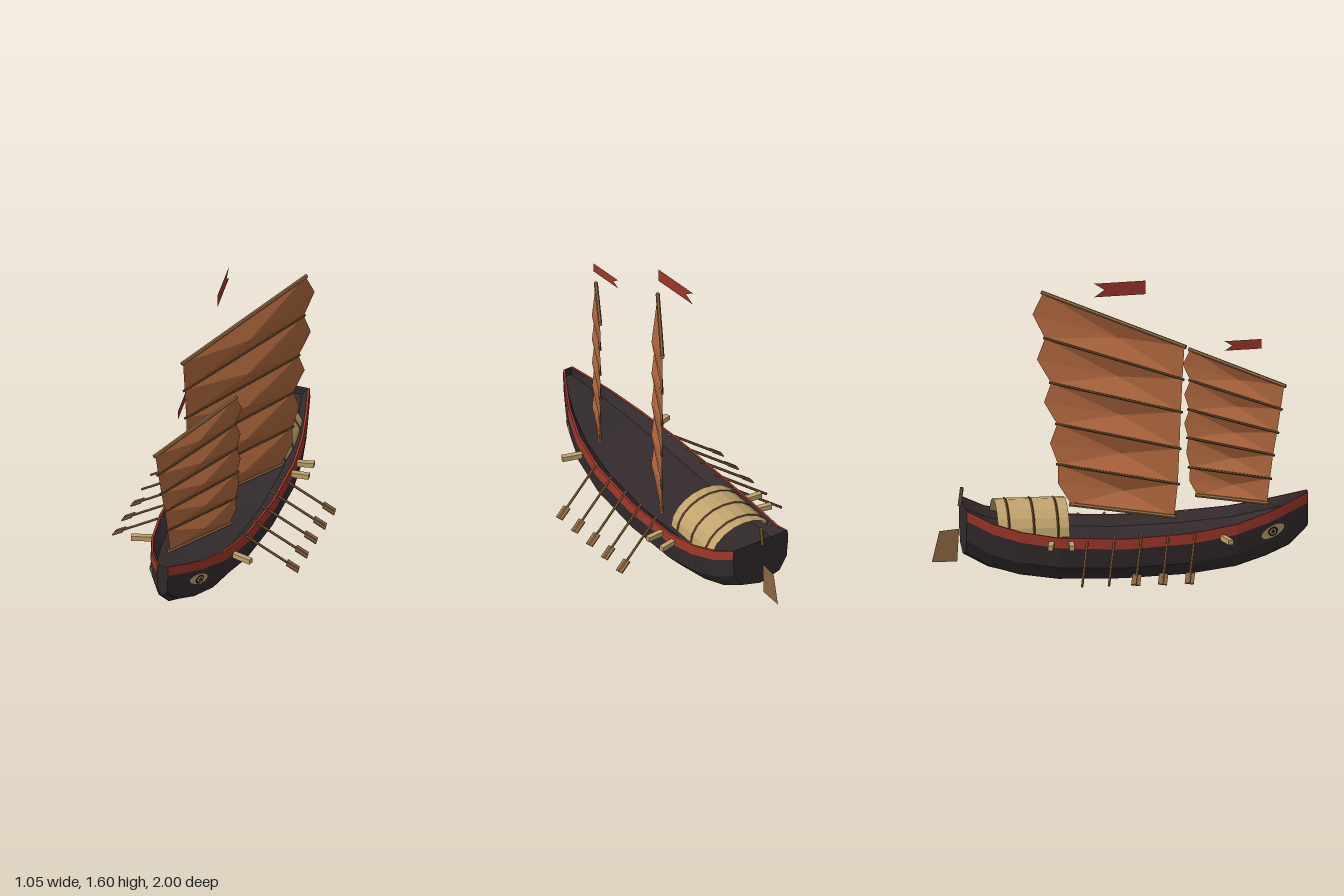
import * as THREE from 'three';

const mat = (name, color) => new THREE.MeshStandardMaterial({ name, color, flatShading: true, side: THREE.DoubleSide });
const V = (x, y, z) => new THREE.Vector3(x, y, z);

// Hull stations: z, half width, sheer height, keel height
const STATIONS = [
  [1, 0.03, 0.43, 0.24], [0.9, 0.085, 0.395, 0.14], [0.78, 0.145, 0.355, 0.085], [0.6, 0.208, 0.31, 0.035],
  [0.35, 0.255, 0.28, 0.01], [0, 0.275, 0.265, 0], [-0.35, 0.268, 0.28, 0.005], [-0.55, 0.243, 0.31, 0.03],
  [-0.7, 0.21, 0.352, 0.07], [-0.835, 0.175, 0.42, 0.145],
];

// Half section from keel to sheer
function section([z, w, top, bot]) {
  const h = top - bot - 0.055;
  return [V(0, bot, z), V(0.68 * w, bot + 0.15 * h, z), V(0.95 * w, bot + 0.5 * h, z),
    V(w, top - 0.055, z), V(0.98 * w, top, z)];
}

// Hull half width at a given z and y
function hullX(z, y) {
  let i = 0;
  while (i < STATIONS.length - 2 && STATIONS[i + 1][0] > z) i++;
  const a = STATIONS[i], b = STATIONS[i + 1], t = (a[0] - z) / (a[0] - b[0]);
  const s = section(a.map((v, k) => v + (b[k] - v) * t));
  let j = 0;
  while (j < s.length - 2 && s[j + 1].y < y) j++;
  return s[j].x + (s[j + 1].x - s[j].x) * (y - s[j].y) / (s[j + 1].y - s[j].y);
}

// Faceted surface through rows of points
function patch(rows) {
  const n = rows[0].length, index = [];
  for (let i = 0; i < rows.length - 1; i++) for (let j = 0; j < n - 1; j++) {
    const a = i * n + j, b = a + n;
    index.push(a, a + 1, b, b, a + 1, b + 1);
  }
  const g = new THREE.BufferGeometry().setFromPoints(rows.flat());
  g.setIndex(index);
  const flat = g.toNonIndexed();
  flat.computeVertexNormals();
  return flat;
}

export function createModel() {
  const model = new THREE.Group();
  const dark = mat('darkHull', 0x332b2d), red = mat('redPaint', 0x9c3629), sailMat = mat('sailCloth', 0xa9633b);
  const wood = mat('wood', 0x8a6540), batten = mat('battenWood', 0x62462c), tan = mat('paleTimber', 0xc0a26c);
  const pupil = mat('eyeBlack', 0x1c1818);

  const add = (name, geo, m, parent = model) => {
    const mesh = new THREE.Mesh(geo, m);
    mesh.name = name;
    parent.add(mesh);
    return mesh;
  };
  const group = (name) => {
    const g = new THREE.Group();
    g.name = name;
    model.add(g);
    return g;
  };
  const rod = (name, a, b, r, m, parent, sides = 6) => {
    const d = b.clone().sub(a);
    const mesh = add(name, new THREE.CylinderGeometry(r, r, d.length(), sides), m, parent);
    mesh.position.copy(a).lerp(b, 0.5);
    mesh.quaternion.setFromUnitVectors(V(0, 1, 0), d.normalize());
    return mesh;
  };
  const flip = (p) => V(-p.x, p.y, p.z);

  // Hull shell, end faces and deck
  const hull = group('hull');
  const secs = STATIONS.map(section);
  add('planking', patch(secs.map((s) => [...s.slice(1, 4).reverse().map(flip), ...s.slice(0, 4)])), dark, hull);
  for (const [name, s] of [['stemFace', secs[0]], ['transom', secs[secs.length - 1]]]) {
    add(name, patch([s, s.map(flip)]), dark, hull);
  }
  const rim = STATIONS.map(([z, w, top]) => V(Math.max(0.98 * w - 0.012, 0.01), top, z));
  const deckEdge = STATIONS.map(([z, w, top]) => V(0.73 * w, top - 0.05, z));
  add('deck', patch(rim.map((p, i) => [flip(p), flip(deckEdge[i]), deckEdge[i], p])), dark, hull);
  for (const side of [1, -1]) {
    const put = side > 0 ? (p) => p : flip;
    add('redRail', patch(secs.map((s, i) => [s[3], s[4], rim[i]].map(put))), red, hull);
  }

  // Painted bow eyes, laid over the planking
  for (const side of [1, -1]) {
    const eye = group('bowEye');
    const layer = (name, rz, ry, lift, m) => {
      const g = new THREE.RingGeometry(0.0005, 1, 14, 3), p = g.attributes.position;
      for (let i = 0; i < p.count; i++) {
        const u = p.getX(i) * rz, v = p.getY(i) * ry;
        const z = 0.8 + u * 0.93 - v * 0.36, y = 0.25 + u * 0.36 + v * 0.93;
        p.setXYZ(i, side * (hullX(z, y) + lift), y, z);
      }
      g.computeVertexNormals();
      add(name, g, m, eye);
    };
    layer('eyeWhite', 0.068, 0.031, 0.005, tan);
    layer('eyeRing', 0.029, 0.025, 0.007, pupil);
    layer('eyeIris', 0.018, 0.016, 0.009, tan);
    layer('eyePupil', 0.011, 0.01, 0.011, pupil);
  }

  // Arched cabin with hoops
  const cabin = group('cabin');
  const arch = (z) => Array.from({ length: 11 }, (_, i) => {
    const a = Math.PI * i / 10;
    return V(0.205 * Math.cos(a), 0.27 + 0.163 * Math.sin(a), z);
  });
  add('cabinRoof', patch([arch(-0.29), arch(-0.67)]), tan, cabin);
  for (const z of [-0.35, -0.478, -0.61]) {
    const hoop = add('cabinHoop', new THREE.TorusGeometry(0.205, 0.006, 4, 10, Math.PI), batten, cabin);
    hoop.position.set(0, 0.27, z);
    hoop.scale.y = 0.8;
  }

  // Battened sails: luff and leech as [z, y], leech bulge as z
  function sail(name, luff, leech, bulge, xAt, depth) {
    const g = group(name), pts = [];
    const at = ([z, y]) => V(xAt(z), y, z);
    const normal = V(0.85, 0, 0.53);
    for (let i = 0; i < luff.length - 1; i++) {
      const a = at(luff[i]), b = at(luff[i + 1]), c = at(leech[i]), d = at(leech[i + 1]);
      const tip = at([bulge[i], (c.y + d.y) / 2]);
      const mid = a.clone().add(b).add(c).add(d).multiplyScalar(0.25).addScaledVector(normal, depth);
      const edge = [a, c, tip, d, b];
      edge.forEach((p, k) => pts.push(mid, p, edge[(k + 1) % edge.length]));
    }
    const geo = new THREE.BufferGeometry().setFromPoints(pts);
    geo.computeVertexNormals();
    add('sailCloth', geo, sailMat, g);
    luff.forEach((l, i) => {
      const spar = i === 0 || i === luff.length - 1;
      const a = at(l), b = at(leech[i]), out = b.clone().sub(a).normalize().multiplyScalar(0.01);
      rod(spar ? 'yard' : 'batten', a.sub(out), b.add(out), spar ? 0.011 : 0.007, spar ? wood : batten, g);
    });
  }
  sail('mainSail',
    [[0.28, 0.335], [0.297, 0.515], [0.305, 0.71], [0.312, 0.91], [0.32, 1.09], [0.33, 1.27]],
    [[-0.23, 0.335], [-0.295, 0.545], [-0.3, 0.765], [-0.33, 0.985], [-0.36, 1.225], [-0.37, 1.472]],
    [-0.295, -0.335, -0.365, -0.4, -0.422], (z) => -0.13 + (0.34 - z) * 0.625, 0.045);
  sail('foreSail',
    [[0.78, 0.378], [0.795, 0.515], [0.81, 0.645], [0.83, 0.77], [0.848, 0.9], [0.865, 1.03]],
    [[0.435, 0.378], [0.398, 0.525], [0.39, 0.685], [0.395, 0.84], [0.4, 1], [0.4, 1.168]],
    [0.395, 0.38, 0.37, 0.37, 0.362], (z) => -0.085 + (0.86 - z) * 0.61, 0.033);

  // Swallow-tailed pennants
  const pennant = (name, z, y, len, h) => {
    const s = new THREE.Shape([[0, -h], [len, -h], [len * 0.8, 0], [len, h], [0, h]].map((p) => new THREE.Vector2(...p)));
    const m = add(name, new THREE.ShapeGeometry(s), red);
    m.position.set(0, y, z);
    m.rotation.y = Math.PI / 2 + 0.12;
  };
  pennant('mainPennant', 0.138, 1.567, 0.28, 0.037);
  pennant('forePennant', 0.755, 1.24, 0.2, 0.026);

  // Oars; the two aftmost on the right carry no blade
  const oars = group('oars');
  for (const side of [1, -1]) for (let i = 0; i < 5; i++) {
    const z = 0.375 - 0.1425 * i;
    const a = V(side * 0.23, 0.283, z), b = V(side * 0.515, 0.078, z - 0.067);
    rod('oarShaft', a, b, 0.007, wood, oars);
    if (side < 0 && i > 2) continue;
    const dir = b.clone().sub(a).normalize(), across = V(0, 0, 1).addScaledVector(dir, -dir.z).normalize();
    const blade = add('oarBlade', new THREE.BoxGeometry(0.048, 0.075, 0.007), wood, oars);
    blade.quaternion.setFromRotationMatrix(new THREE.Matrix4().makeBasis(across, dir, across.clone().cross(dir)));
    blade.position.copy(b).addScaledVector(dir, -0.035);
  }

  // Protruding deck beams
  const beams = group('deckBeams');
  for (const side of [1, -1]) for (const [x, z, turn] of [[0.283, 0.537, -0.28], [0.305, -0.293, 0.08], [0.295, -0.4, 0.2]]) {
    const beam = add('beamEnd', new THREE.BoxGeometry(0.11, 0.028, 0.028), tan, beams);
    beam.position.set(side * x, 0.248, z);
    beam.rotation.y = side * turn;
  }

  // Stern rudder
  const rudder = group('rudder');
  add('rudderBlade', patch([[V(0, 0.28, -0.855), V(0, 0.27, -0.96)], [V(0, 0.102, -0.865), V(0, 0.102, -1)]]), wood, rudder);
  rod('rudderPost', V(0, 0.405, -0.853), V(0, 0.505, -0.84), 0.01, wood, rudder);

  return model;
}
